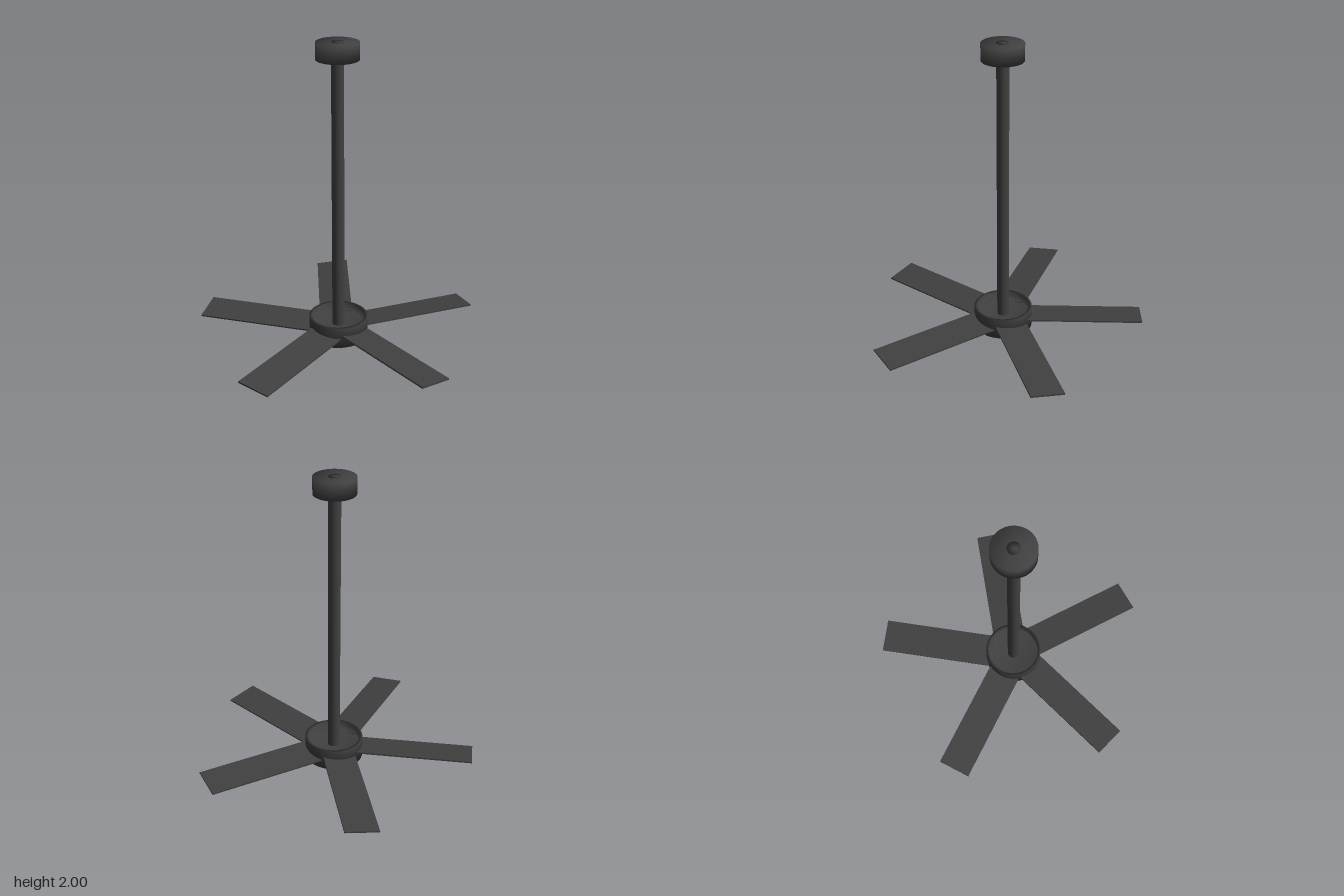
import * as THREE from 'three';

export function createModel() {
  const group = new THREE.Group();
  const charcoal = new THREE.MeshStandardMaterial({ color: 0x404040 });
  charcoal.name = 'charcoal';

  const fan = new THREE.Group();
  fan.name = 'ceilingFan';
  fan.position.x = -0.055;
  group.add(fan);

  // Round part from a [radius, height] profile, softly shaded over its edges
  function turned(name, profile, segments = 48) {
    const points = profile.map(([r, y]) => new THREE.Vector2(r, y));
    const mesh = new THREE.Mesh(new THREE.LatheGeometry(points, segments), charcoal);
    mesh.name = name;
    fan.add(mesh);
  }

  // Motor housing: a shallow cup with a raised rim
  turned('motorHousing', [
    [0, 0], [0.195, 0], [0.195, 0.14], [0.175, 0.14], [0.175, 0.08], [0, 0.08],
  ]);

  // Down rod, running right through the ceiling canopy
  turned('downRod', [[0, 0.07], [0.04, 0.07], [0.04, 2], [0, 2]], 32);
  turned('ceilingCanopy', [[0, 1.89], [0.135, 1.89], [0.135, 1.998], [0, 1.998]]);

  // Five pitched blades
  const inner = 0.155, outer = 0.94, width = 0.222;
  const bladeGeometry = new THREE.BoxGeometry(outer - inner, 0.01, width);
  bladeGeometry.rotateX(-0.11);
  bladeGeometry.translate((inner + outer) / 2, 0.072, -0.01);
  for (let i = 0; i < 5; i++) {
    const blade = new THREE.Mesh(bladeGeometry, charcoal);
    blade.name = `blade${i + 1}`;
    blade.rotation.y = (i * Math.PI * 2) / 5;
    fan.add(blade);
  }

  return group;
}
